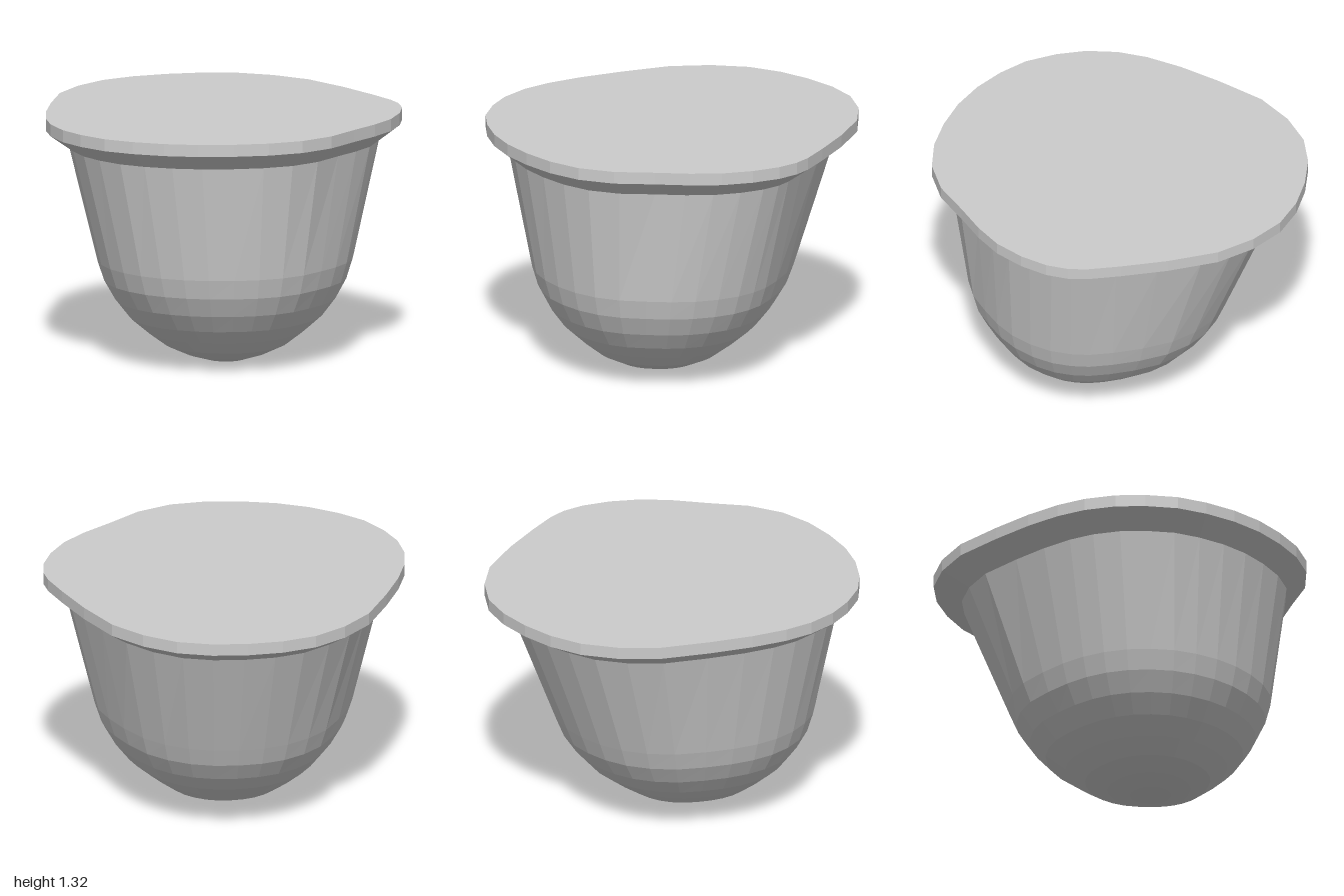
import * as THREE from 'three';

const SIDES = 32, RADIUS = 0.97, CENTER_Z = 0.17;

// z of the rim outline for each of the 32 equal angular steps, from the back round by +x
const rimZ = [
  -1, -0.985, -0.93, -0.815, -0.65, -0.4, -0.16, 0.01,
  0.11, 0.23, 0.375, 0.52, 0.64, 0.755, 0.895, 0.975,
  0.995, 0.975, 0.93, 0.855, 0.755, 0.64, 0.49, 0.34,
  0.17, 0.01, -0.18, -0.4, -0.65, -0.815, -0.93, -0.985,
];

// Point on a ring: a circle blended towards the rim outline
function ringPoint([y, radius, blend], i) {
  const k = i % SIDES, a = (k / SIDES) * Math.PI * 2;
  const circleZ = -Math.cos(a);
  const outlineZ = (rimZ[k] - CENTER_Z) / RADIUS;
  const x = k === 8 ? 0.995 : Math.sin(a);
  return [x * radius, y, CENTER_Z + radius * THREE.MathUtils.lerp(circleZ, outlineZ, blend)];
}

// Skin a stack of rings [y, radius, blend], bottom to top
function loft(name, rings, material) {
  const pos = [];
  for (let j = 0; j < rings.length - 1; j++) {
    for (let i = 0; i < SIDES; i++) {
      const a = ringPoint(rings[j], i), b = ringPoint(rings[j], i + 1);
      const c = ringPoint(rings[j + 1], i), d = ringPoint(rings[j + 1], i + 1);
      if (rings[j][1] > 0) pos.push(...a, ...c, ...b);
      if (rings[j + 1][1] > 0) pos.push(...b, ...c, ...d);
    }
  }
  const geometry = new THREE.BufferGeometry();
  geometry.setAttribute('position', new THREE.Float32BufferAttribute(pos, 3));
  geometry.computeVertexNormals();
  const mesh = new THREE.Mesh(geometry, material);
  mesh.name = name;
  return mesh;
}

export function createModel() {
  const group = new THREE.Group();
  group.name = 'roundedCup';
  const material = new THREE.MeshStandardMaterial({ color: 0xcccccc, flatShading: true });

  // Rounded bowl with flaring walls
  group.add(loft('bowl', [
    [0, 0, 0.4], [0.007, 0.11, 0.4], [0.04, 0.22, 0.4], [0.09, 0.33, 0.4],
    [0.16, 0.425, 0.42], [0.24, 0.52, 0.45], [0.335, 0.595, 0.48],
    [0.44, 0.655, 0.52], [0.545, 0.69, 0.56], [1.167, 0.845, 1],
  ], material));

  // Chamfered rim with a flat closed top
  group.add(loft('rim', [
    [1.167, 0.845, 1], [1.255, RADIUS, 1], [1.32, RADIUS, 1], [1.32, 0, 1],
  ], material));

  return group;
}
